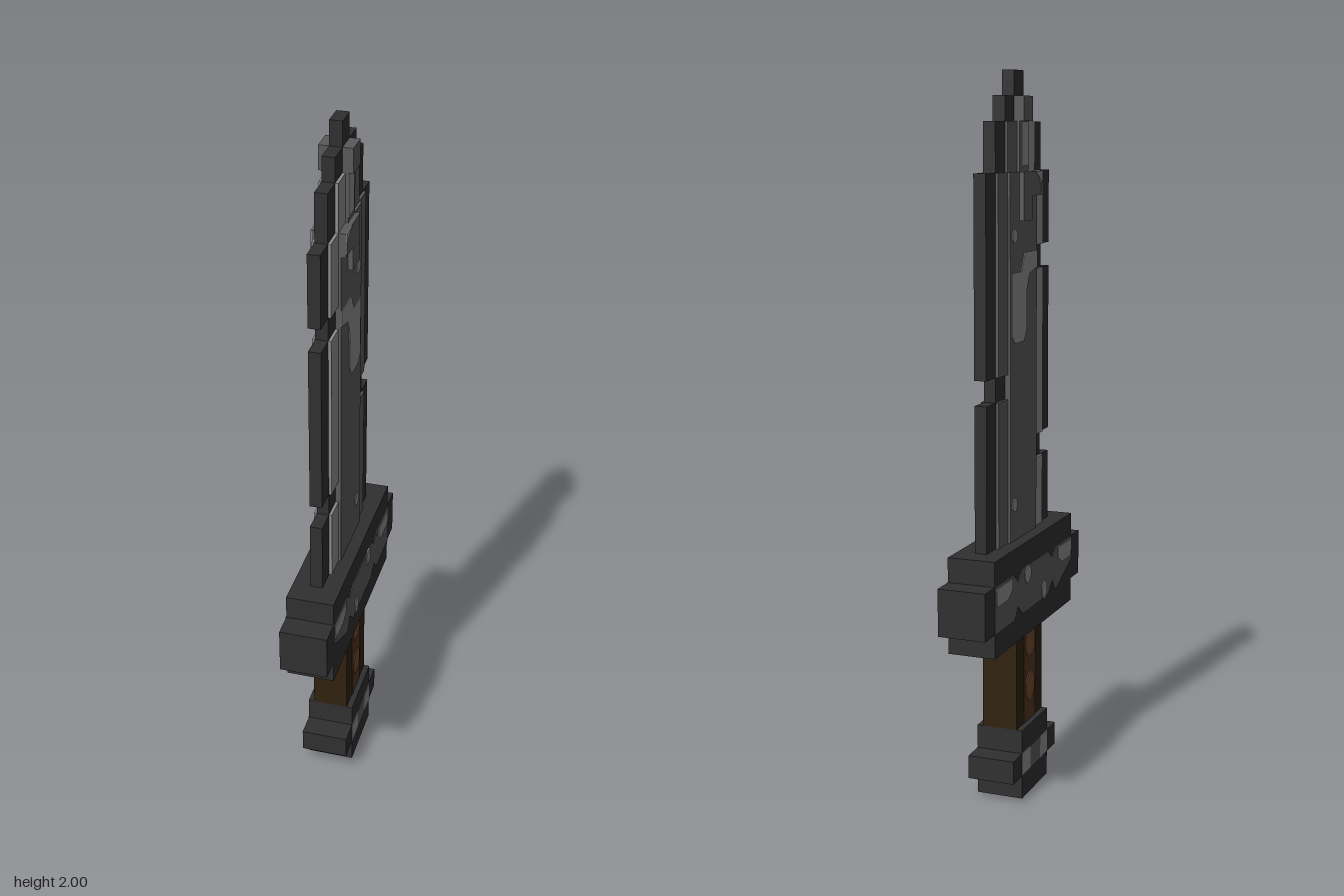
import * as THREE from 'three';

const mat = (name, color) => {
  const m = new THREE.MeshStandardMaterial({ color });
  m.name = name;
  return m;
};

export function createModel() {
  const dark = mat('dark iron', 0x303030);
  const mid = mat('grey iron', 0x5a5a5a);
  const light = mat('worn iron', 0x8e8e8e);
  const darkWood = mat('dark leather', 0x30220f);
  const wood = mat('brown leather', 0x50351f);
  const lightWood = mat('worn leather', 0x704a30);

  const model = new THREE.Group();
  model.name = 'sword';
  const section = (name) => {
    const g = new THREE.Group();
    g.name = name;
    model.add(g);
    return g;
  };

  // Box centred on x, given its half thickness and its y and z ranges
  const block = (parent, name, material, hx, y0, y1, z0, z1) => {
    const mesh = new THREE.Mesh(new THREE.BoxGeometry(hx * 2, y1 - y0, z1 - z0), material);
    mesh.position.set(0, (y0 + y1) / 2, (z0 + z1) / 2);
    mesh.name = name;
    parent.add(mesh);
  };

  // Outline of [z, y] points extruded along x, centred on x = 0
  const slab = (points, thickness) => {
    const shape = new THREE.Shape(points.map(([z, y]) => new THREE.Vector2(z, y)));
    return new THREE.ExtrudeGeometry(shape, { depth: thickness, bevelEnabled: false })
      .translate(0, 0, -thickness / 2).rotateY(-Math.PI / 2);
  };

  // Thin painted plate on both flat sides of a part
  const paint = (parent, name, material, x, points, t = 0.004) => {
    const geometry = slab(points, t);
    for (const s of [1, -1]) {
      const mesh = new THREE.Mesh(geometry, material);
      mesh.position.x = s * x;
      mesh.name = name;
      parent.add(mesh);
    }
  };
  const rect = (z0, z1, y0, y1) => [[z0, y0], [z1, y0], [z1, y1], [z0, y1]];
  const oval = (z, y, rz, ry) => Array.from({ length: 8 }, (_, i) => {
    const a = (i + 0.5) * Math.PI / 4;
    return [z + rz * Math.cos(a), y + ry * Math.sin(a)];
  });

  // Pommel
  const pommel = section('pommel');
  block(pommel, 'pommelBody', dark, 0.067, 0, 0.2, -0.1, 0.1);
  for (const s of [1, -1]) {
    const [a, b] = s > 0 ? [0.1, 0.167] : [-0.167, -0.1];
    block(pommel, 'pommelLug', dark, 0.067, 0.067, 0.133, a, b);
    paint(pommel, 'pommelWear', light, 0.067, rect(s > 0 ? 0.04 : -0.1, s > 0 ? 0.1 : -0.04, 0.069, 0.133));
  }
  paint(pommel, 'pommelBand', mid, 0.067, rect(-0.04, 0.04, 0.069, 0.133));

  // Grip with a worn centre strip
  const grip = section('grip');
  block(grip, 'gripCore', darkWood, 0.05, 0.2, 0.47, -0.1, 0.1);
  paint(grip, 'gripStrip', wood, 0.05, rect(-0.043, 0.043, 0.2, 0.47));
  paint(grip, 'gripWear', lightWood, 0.05, oval(0, 0.3, 0.036, 0.046), 0.008);
  paint(grip, 'gripWear', lightWood, 0.05,
    [[-0.02, 0.39], [0.02, 0.39], [0.036, 0.415], [0.036, 0.47], [-0.036, 0.47], [-0.036, 0.415]], 0.008);

  // Cross guard
  const guard = section('guard');
  block(guard, 'guardBody', dark, 0.067, 0.47, 0.735, -0.3, 0.3);
  block(guard, 'guardEnd', dark, 0.067, 0.537, 0.667, 0.3, 0.367);
  block(guard, 'guardEnd', dark, 0.067, 0.537, 0.667, -0.367, -0.3);
  paint(guard, 'guardBand', mid, 0.067, [
    [0.3, 0.667], [0.17, 0.667], [0.135, 0.64], [0.1, 0.667], [-0.1, 0.667], [-0.135, 0.64],
    [-0.17, 0.667], [-0.3, 0.667], [-0.3, 0.537], [-0.16, 0.537], [-0.135, 0.57], [-0.1, 0.54],
    [0.1, 0.54], [0.135, 0.575], [0.16, 0.537], [0.3, 0.6],
  ]);
  for (const s of [1, -1]) {
    paint(guard, 'guardWear', light, 0.067,
      [[s * 0.295, 0.66], [s * 0.18, 0.66], [s * 0.18, 0.63], [s * 0.21, 0.61], [s * 0.29, 0.61]], 0.008);
  }
  paint(guard, 'guardWear', light, 0.067, oval(-0.063, 0.643, 0.024, 0.026), 0.008);
  paint(guard, 'guardWear', light, 0.067, oval(0.067, 0.565, 0.02, 0.028), 0.008);

  // Notched cutting edge: rows of [bottom, top, back z, front z]
  const blade = section('blade');
  const rows = [
    [0.73, 0.933, 0.233, 0.233], [0.933, 1, 0.233, 0.167], [1, 1.133, 0.233, 0.233],
    [1.133, 1.2, 0.167, 0.233], [1.2, 1.467, 0.233, 0.233], [1.467, 1.533, 0.233, 0.167],
    [1.533, 1.735, 0.233, 0.233], [1.735, 1.867, 0.167, 0.167], [1.867, 1.933, 0.1, 0.1],
    [1.933, 2, 0.033, 0.033],
  ];
  const front = rows.flatMap(([a, b, , z]) => [[z, a], [z, b]]);
  const back = rows.flatMap(([a, b, z]) => [[-z, a], [-z, b]]).reverse();
  const clean = [...front, ...back].filter(([z, y], i, all) => {
    const p = all[(i + all.length - 1) % all.length];
    return p[0] !== z || p[1] !== y;
  });
  const edge = new THREE.Mesh(slab(clean, 0.034), dark);
  edge.name = 'cuttingEdge';
  blade.add(edge);

  // Bevel strips beside the edge, broken at the notches
  for (const [a, b] of [[0.735, 0.933], [1, 1.467], [1.533, 1.735]]) {
    block(blade, 'frontBevel', light, 0.025, a, b, 0.1, 0.167);
  }
  for (const [a, b] of [[0.735, 1.133], [1.2, 1.735]]) {
    block(blade, 'backBevel', mid, 0.025, a, b, -0.167, -0.1);
  }

  // Raised middle and stepped tip
  block(blade, 'bladeMiddle', mid, 0.032, 0.735, 1.735, -0.1, 0.1);
  block(blade, 'upperMiddle', mid, 0.032, 1.735, 1.867, -0.033, 0.033);
  block(blade, 'upperFrontBevel', light, 0.025, 1.735, 1.867, 0.033, 0.1);
  block(blade, 'upperBackBevel', mid, 0.025, 1.735, 1.867, -0.1, -0.033);
  block(blade, 'tipRidge', mid, 0.045, 1.867, 1.933, -0.033, 0.033);
  block(blade, 'ridgeStep', mid, 0.045, 1.67, 1.735, -0.033, 0.1);
  block(blade, 'ridgeStep', mid, 0.045, 1.605, 1.67, -0.033, 0.033);

  // Worn patches
  paint(blade, 'bladeWear', light, 0.032, [
    [0.1, 1.52], [0.005, 1.52], [-0.02, 1.47], [-0.09, 1.47], [-0.09, 1.3], [-0.07, 1.28],
    [0, 1.28], [0.02, 1.31], [0.02, 1.42], [0.04, 1.46], [0.1, 1.475],
  ]);
  paint(blade, 'bladeWear', light, 0.032, oval(-0.068, 1.567, 0.02, 0.02));
  paint(blade, 'bladeWear', light, 0.032, oval(-0.068, 0.836, 0.02, 0.02));
  paint(blade, 'upperWear', light, 0.032, rect(-0.02, 0.033, 1.75, 1.866));
  paint(blade, 'stepWear', light, 0.045, [[0.1, 1.735], [0.1, 1.68], [0.085, 1.715], [0.05, 1.735]]);

  return model;
}
